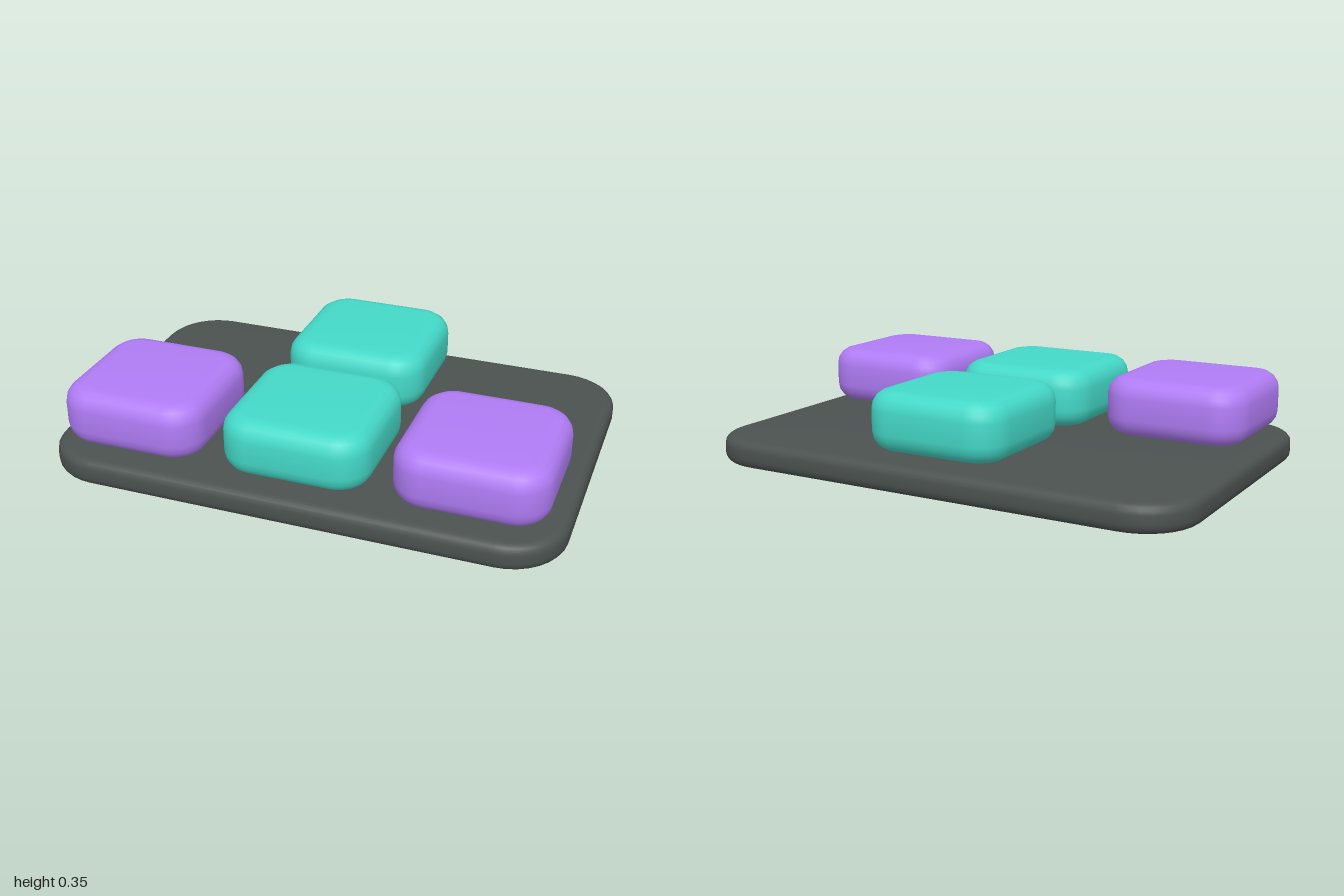
import * as THREE from 'three';
import { mergeVertices, toCreasedNormals } from 'three/addons/utils/BufferGeometryUtils.js';

// Rounded slab resting on y = 0: plan corner radius r, rounded rims of size b
function slab(w, h, d, r, b, rimSteps) {
  const x = w / 2 - r, z = d / 2 - r, q = Math.PI / 2;
  const shape = new THREE.Shape();
  [[x, z], [-x, z], [-x, -z], [x, -z]].forEach(([cx, cz], i) =>
    shape.absarc(cx, cz, r - b, i * q, (i + 1) * q, false));
  shape.closePath();
  let geo = new THREE.ExtrudeGeometry(shape, {
    depth: h - 2 * b, curveSegments: 4,
    bevelEnabled: true, bevelSize: b, bevelThickness: b, bevelSegments: rimSteps,
  });
  geo.rotateX(-q).translate(0, b, 0);
  geo.deleteAttribute('uv');
  geo.deleteAttribute('normal');
  geo = mergeVertices(geo, 1e-4);
  return toCreasedNormals(geo, 0.9);
}

export function createModel() {
  const model = new THREE.Group();
  const material = (color) => new THREE.MeshStandardMaterial({ color });
  const teal = material(0x44d9c8), purple = material(0xb07cf5);

  // Base plate
  const plate = new THREE.Mesh(slab(2, 0.105, 1.345, 0.22, 0.035, 4), material(0x4b5250));
  plate.name = 'basePlate';
  model.add(plate);

  // Keys in an inverted T, floating just above the plate
  const keyGeo = slab(0.57, 0.225, 0.57, 0.13, 0.07, 4);
  const keys = [
    ['backKey', 0, -0.327, teal],
    ['frontKey', 0, 0.327, teal],
    ['leftKey', 0.652, 0.327, purple],
    ['rightKey', -0.652, 0.327, purple],
  ];
  for (const [name, x, z, mat] of keys) {
    const key = new THREE.Mesh(keyGeo, mat);
    key.name = name;
    key.position.set(x, 0.125, z);
    model.add(key);
  }
  return model;
}
